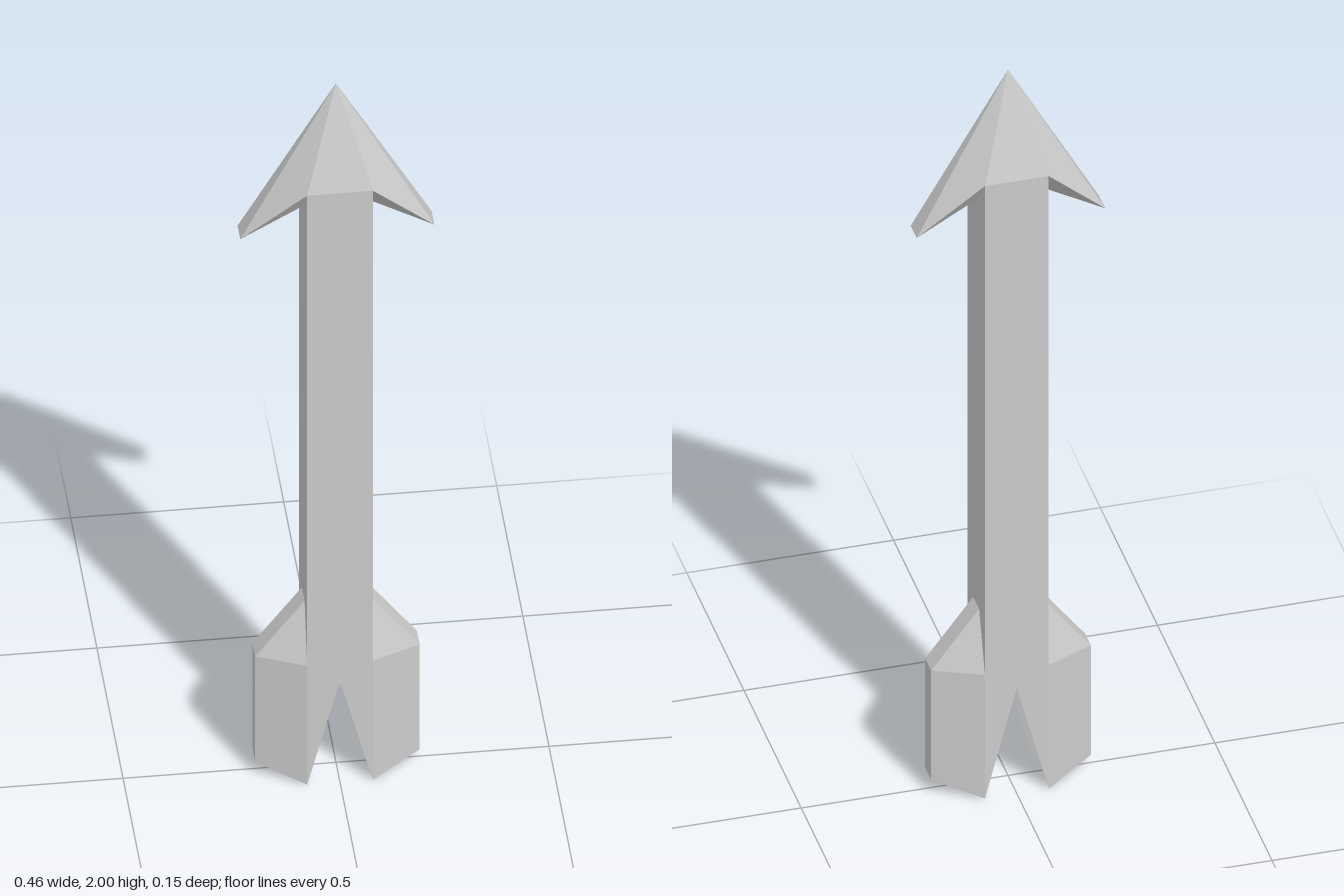
import * as THREE from 'three';

// Key dimensions: shaft half width, barb/fin half thickness, barb reach, fin reach
const W = 0.077, T = 0.026, B = 0.228, F = 0.193;
const TIP = 2, NECK = 1.735, BARB = 1.582, ARMPIT = 1.668;
const FIN_TOP = 0.503, FIN_SHOULDER = 0.35, FIN_LOW = 0.04, NOTCH = 0.3;

// Builds a mesh from faces of the +x +z quarter, mirrored across x and z
function quarterMesh(name, faces) {
  const pos = [];
  for (const sx of [1, -1]) {
    for (const sz of [1, -1]) {
      for (const face of faces) {
        const p = face.map(([x, y, z]) => [x * sx, y, z * sz]);
        if (sx * sz < 0) p.reverse();
        for (let i = 1; i < p.length - 1; i++) pos.push(...p[0], ...p[i], ...p[i + 1]);
      }
    }
  }
  const geometry = new THREE.BufferGeometry();
  geometry.setAttribute('position', new THREE.Float32BufferAttribute(pos, 3));
  geometry.computeVertexNormals();
  const material = new THREE.MeshStandardMaterial({ color: 0xcccccc, flatShading: true });
  const mesh = new THREE.Mesh(geometry, material);
  mesh.name = name;
  return mesh;
}

export function createModel() {
  const group = new THREE.Group();
  group.name = 'arrow';

  // Square shaft with a V notch at the foot of its front and back
  group.add(quarterMesh('shaft', [
    [[0, NECK, W], [0, NOTCH, W], [W, 0, W], [W, NECK, W]],
    [[W, NECK, W], [W, FIN_SHOULDER, W], [W, FIN_TOP, T], [W, ARMPIT, T]],
    [[W, ARMPIT, T], [W, FIN_TOP, T], [W, FIN_TOP, 0], [W, ARMPIT, 0]],
  ]));

  // Pointed head with two swept-back barbs
  const tip = [0, TIP, 0];
  group.add(quarterMesh('arrowhead', [
    [[0, NECK, W], [W, NECK, W], tip],
    [[W, NECK, W], [B, BARB, T], tip],
    [[B, BARB, T], [B, BARB, 0], tip],
    [[W, NECK, W], [W, ARMPIT, T], [B, BARB, T]],
    [[W, ARMPIT, T], [W, ARMPIT, 0], [B, BARB, 0], [B, BARB, T]],
  ]));

  // Tail fins, hollowed underneath up to the notch ridge
  group.add(quarterMesh('tailFins', [
    [[W, FIN_TOP, T], [F, FIN_SHOULDER, T], [F, FIN_SHOULDER, 0], [W, FIN_TOP, 0]],
    [[W, FIN_TOP, T], [W, FIN_SHOULDER, W], [F, FIN_SHOULDER, T]],
    [[W, FIN_SHOULDER, W], [W, 0, W], [F, FIN_LOW, T], [F, FIN_SHOULDER, T]],
    [[F, FIN_SHOULDER, T], [F, FIN_LOW, T], [F, FIN_LOW, 0], [F, FIN_SHOULDER, 0]],
    [[W, 0, W], [0, NOTCH, W], [F, FIN_LOW, T]],
    [[F, FIN_LOW, T], [0, NOTCH, W], [0, NOTCH, 0], [F, FIN_LOW, 0]],
  ]));

  return group;
}
